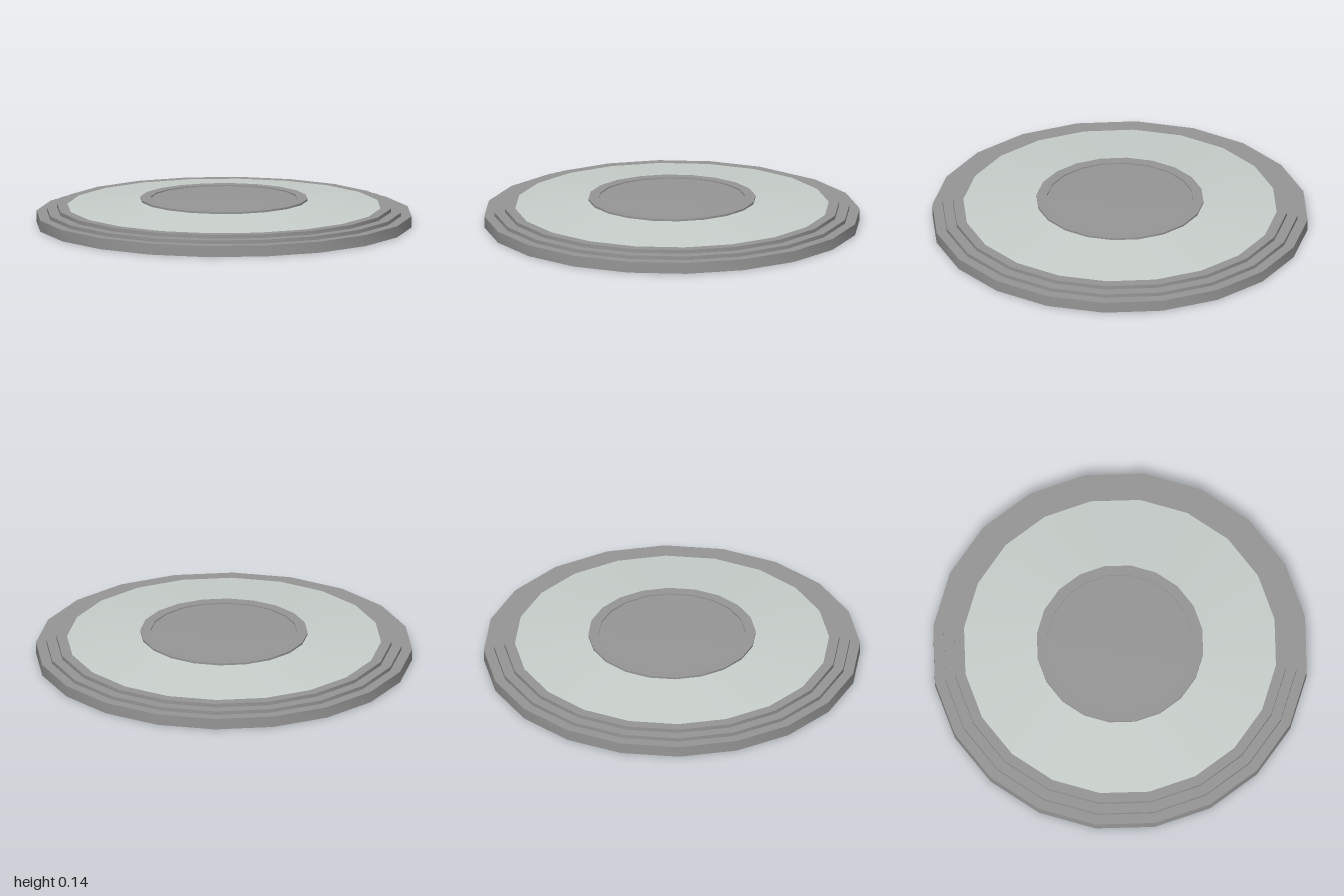
import * as THREE from 'three';
import { toCreasedNormals } from 'three/addons/utils/BufferGeometryUtils.js';

const SIDES = 20;
const metal = new THREE.MeshStandardMaterial({ color: 0x969696 });
const glass = new THREE.MeshStandardMaterial({ color: 0xc8cfcb });

const lathe = (points) =>
  new THREE.LatheGeometry(points.map(([r, y]) => new THREE.Vector2(r, y)), SIDES);

// Closed ring of rectangular section, smooth around and sharp at its edges
function ring(inner, outer, bottom, top) {
  return toCreasedNormals(lathe([
    [inner, bottom], [outer, bottom], [outer, top], [inner, top], [inner, bottom],
  ]), 0.5);
}

export function createModel() {
  const group = new THREE.Group();
  const add = (name, geometry, material) => {
    const mesh = new THREE.Mesh(geometry, material);
    mesh.name = name;
    group.add(mesh);
  };

  // Stepped rim: three equal rings, each smaller and set a little higher
  ['outerRim', 'middleRim', 'innerRim'].forEach((name, i) => {
    const outer = 1 - 0.055 * i;
    add(name, ring(outer - 0.055, outer, 0.02 * i, 0.02 * i + 0.06), metal);
  });

  // Thin pane sloping gently up to the collar
  add('pane', toCreasedNormals(lathe([
    [0.44, 0.13], [0.835, 0.095], [0.835, 0.1], [0.44, 0.135],
  ]), 0.5), glass);

  // Collar passing through the pane
  add('collar', ring(0.39, 0.445, 0.04, 0.145), metal);

  // Thin plate closing the collar, softly shaded over its edge
  add('centrePlate', lathe([[0, 0.13], [0.39, 0.13], [0.39, 0.138], [0, 0.138]]), metal);

  return group;
}
